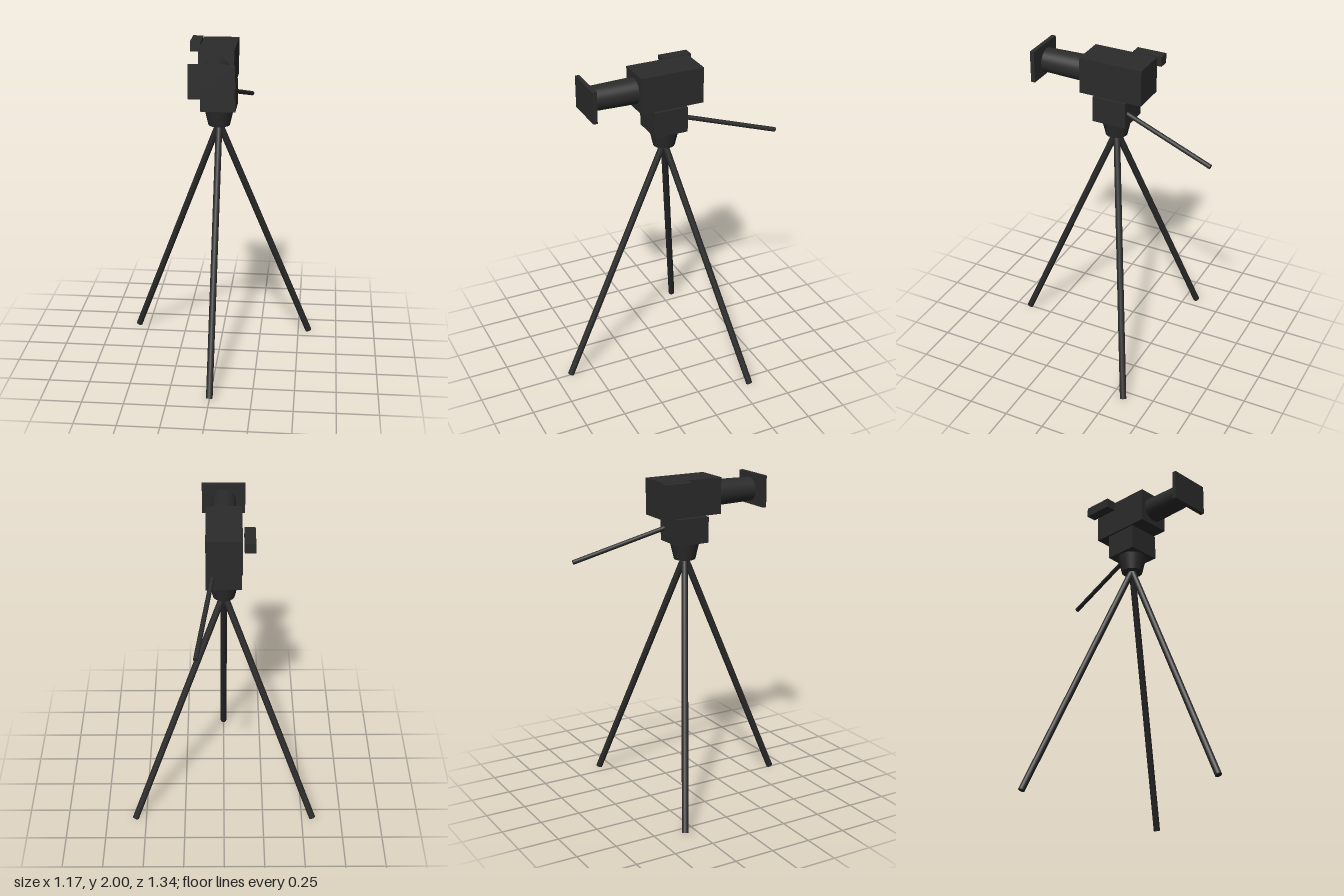
import * as THREE from 'three';

export function createModel() {
  const group = new THREE.Group();
  const black = new THREE.MeshStandardMaterial({ color: 0x2b2b2b });
  black.name = 'matteBlack';

  const add = (name, geometry, x = 0, y = 0, z = 0) => {
    const mesh = new THREE.Mesh(geometry, black);
    mesh.name = name;
    mesh.position.set(x, y, z);
    group.add(mesh);
    return mesh;
  };
  const box = (name, w, h, d, x, y, z) => add(name, new THREE.BoxGeometry(w, h, d), x, y, z);

  // Round bar between two points
  const rod = (name, from, to, radius) => {
    const a = new THREE.Vector3(...from), b = new THREE.Vector3(...to);
    const dir = b.clone().sub(a);
    const mesh = add(name, new THREE.CylinderGeometry(radius, radius, dir.length(), 16));
    mesh.position.copy(a).add(b).multiplyScalar(0.5);
    mesh.quaternion.setFromUnitVectors(new THREE.Vector3(0, 1, 0), dir.normalize());
  };

  // Camera: body, side viewfinder, tapered lens and square hood plate
  box('cameraBody', 0.21, 0.22, 0.395, -0.001, 1.89, -0.008);
  box('viewfinder', 0.064, 0.06, 0.182, -0.147, 1.97, -0.139);
  add('lens', new THREE.CylinderGeometry(0.073, 0.079, 0.268, 32), 0, 1.89, 0.324)
    .rotation.x = Math.PI / 2;
  box('lensHood', 0.262, 0.194, 0.026, 0, 1.89, 0.484);

  // Tripod head: block, tapered collar and pan handle
  box('headBlock', 0.21, 0.157, 0.21, 0, 1.692, 0);
  add('headCollar', new THREE.CylinderGeometry(0.09, 0.065, 0.106, 32), 0, 1.561, 0);
  rod('panHandle', [0.064, 1.699, -0.08], [0.157, 1.532, -0.667], 0.014);

  // Three splayed legs, one to the front
  for (let i = 0; i < 3; i++) {
    const angle = (i * Math.PI * 2) / 3;
    rod('tripodLeg', [0, 1.52, 0],
      [Math.sin(angle) * 0.655, 0.008, Math.cos(angle) * 0.655], 0.02);
  }

  return group;
}
